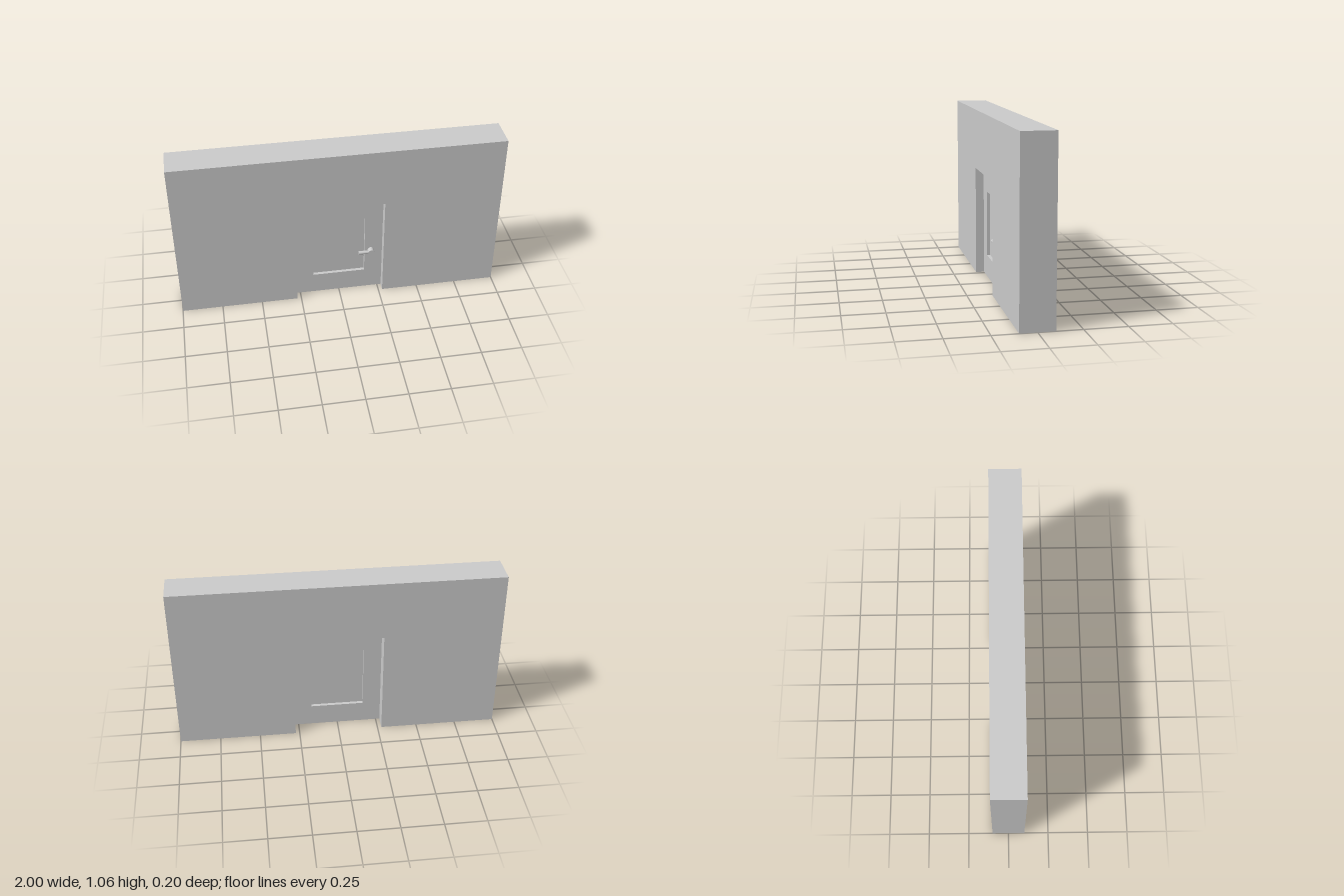
import * as THREE from 'three';

const grey = new THREE.MeshStandardMaterial({ color: 0xcccccc });

function add(group, name, geometry, x = 0, y = 0, z = 0) {
  const mesh = new THREE.Mesh(geometry, grey);
  mesh.name = name;
  mesh.position.set(x, y, z);
  group.add(mesh);
  return mesh;
}

function outline(target, points) {
  return target.setFromPoints(points.map(([x, y]) => new THREE.Vector2(x, y)));
}

const rect = (w, y0, y1) => [[-w, y0], [w, y0], [w, y1], [-w, y1]];
const extrude = (shape, depth) => new THREE.ExtrudeGeometry(shape, { depth, bevelEnabled: false });

export function createModel() {
  const model = new THREE.Group();
  model.name = 'wallWithDoor';

  const wallHeight = 1.06, halfThickness = 0.1;
  const doorHalf = 0.275, doorHeight = 0.686;
  const doorBack = -0.012, doorFront = 0.048;

  // Wall with a doorway open at the floor
  const wallShape = outline(new THREE.Shape(), [
    [-1, 0], [-doorHalf, 0], [-doorHalf, doorHeight], [doorHalf, doorHeight],
    [doorHalf, 0], [1, 0], [1, wallHeight], [-1, wallHeight],
  ]);
  add(model, 'wall', extrude(wallShape, 2 * halfThickness), 0, 0, -halfThickness);

  // Door: frame around a thinner recessed panel
  const door = new THREE.Group();
  door.name = 'door';
  model.add(door);
  const panelHalf = 0.164, panelBottom = 0.138, panelTop = 0.55;
  const frameShape = outline(new THREE.Shape(), rect(doorHalf, 0, doorHeight));
  frameShape.holes.push(outline(new THREE.Path(), rect(panelHalf, panelBottom, panelTop)));
  add(door, 'doorFrame', extrude(frameShape, doorFront - doorBack), 0, 0, doorBack);
  add(door, 'doorPanel', new THREE.BoxGeometry(2 * panelHalf, panelTop - panelBottom, 0.02),
    0, (panelTop + panelBottom) / 2, (doorFront + doorBack) / 2);

  // Handle: round hub with a lever pointing to the middle of the door
  const handle = new THREE.Group();
  handle.name = 'handle';
  handle.position.set(0.203, 0.297, doorFront);
  door.add(handle);
  const hub = add(handle, 'handleHub', new THREE.CylinderGeometry(0.02, 0.02, 0.032, 32), 0, 0, 0.016);
  hub.rotation.x = Math.PI / 2;
  const lever = add(handle, 'handleLever', new THREE.CylinderGeometry(0.011, 0.011, 0.08, 24), -0.04, 0, 0.02);
  lever.rotation.z = Math.PI / 2;

  return model;
}
